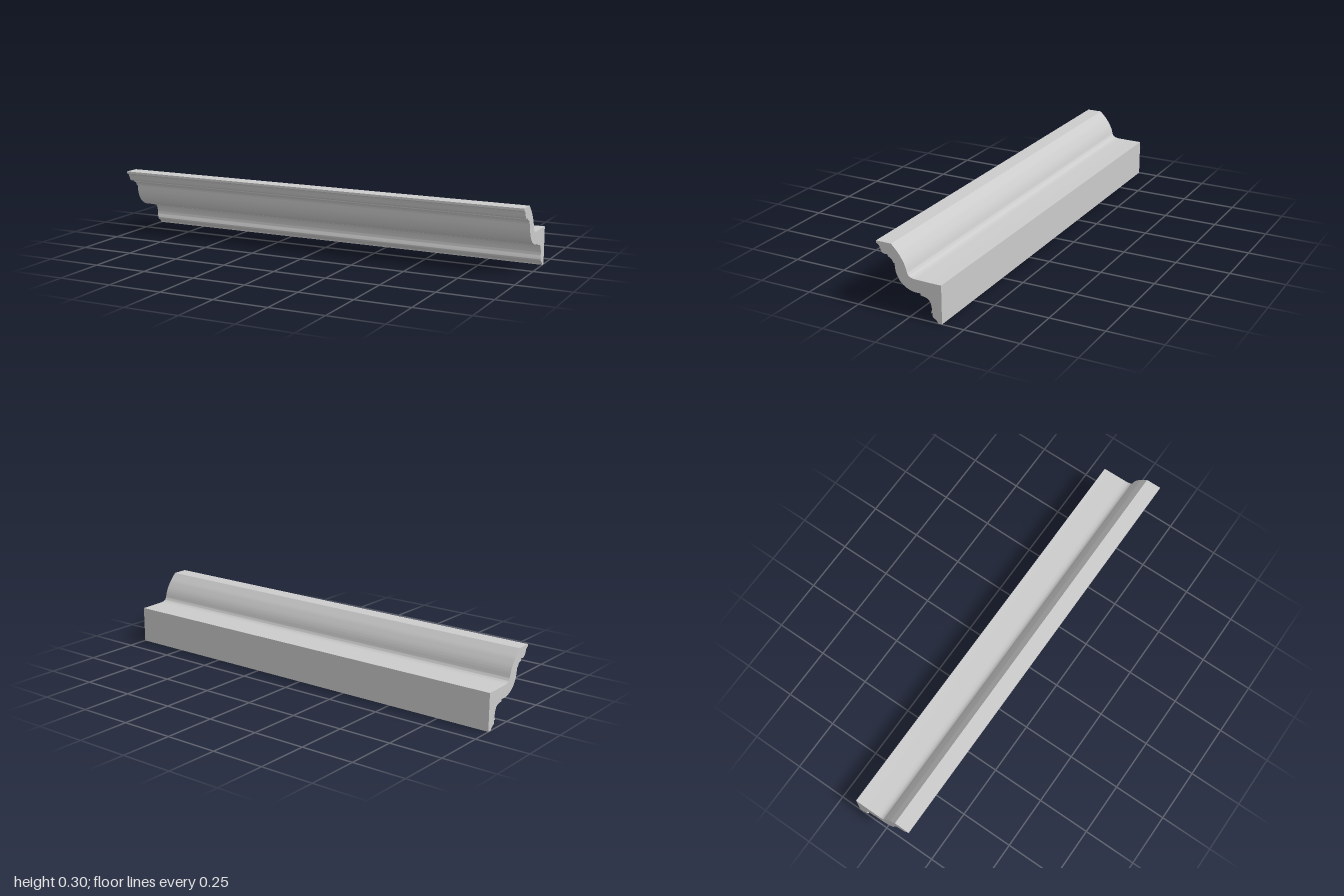
import * as THREE from 'three';
import { toCreasedNormals } from 'three/addons/utils/BufferGeometryUtils.js';

const LENGTH = 2;

// Cross-section as (z, y): each run is a smooth curve, runs meet at sharp corners.
const runs = [
  // foot bead
  [[-0.131, 0.002], [-0.123, 0.013], [-0.111, 0.02], [-0.106, 0.029], [-0.108, 0.038]],
  // lower cove
  [[-0.1, 0.039], [-0.103, 0.048], [-0.104, 0.06], [-0.101, 0.077], [-0.094, 0.092], [-0.081, 0.101], [-0.054, 0.106]],
  // main belly
  [[-0.053, 0.115], [-0.022, 0.115], [0.006, 0.123], [0.034, 0.141], [0.053, 0.167], [0.062, 0.193], [0.065, 0.222]],
  // upper steps
  [[0.072, 0.223], [0.076, 0.234], [0.084, 0.241], [0.095, 0.245]],
  [[0.097, 0.254], [0.113, 0.254], [0.125, 0.26], [0.132, 0.275], [0.138, 0.288], [0.15, 0.294]],
  // top lip
  [[0.15, 0.304], [0.078, 0.304]],
  // back of the sweep, down to the shelf
  [[0.078, 0.304], [0.061, 0.286], [0.043, 0.266], [0.023, 0.235], [0.013, 0.212], [0.006, 0.188],
    [-0.004, 0.177], [-0.022, 0.172], [-0.05, 0.171], [-0.095, 0.17]],
  // shelf and flat wall face
  [[-0.15, 0.17], [-0.15, 0]],
];

function profile() {
  const points = [];
  for (const run of runs) {
    const pts = run.map(([z, y]) => new THREE.Vector2(z, y));
    const smooth = pts.length > 2 ? new THREE.SplineCurve(pts).getPoints((pts.length - 1) * 4) : pts;
    for (const p of smooth) {
      if (!points.length || points[points.length - 1].distanceTo(p) > 1e-5) points.push(p);
    }
  }
  points.push(new THREE.Vector2(-0.131, 0));
  return new THREE.Shape(points);
}

export function createModel() {
  const group = new THREE.Group();
  group.name = 'crownMoulding';

  // Sweep the section along x
  const geometry = new THREE.ExtrudeGeometry(profile(), { depth: LENGTH, bevelEnabled: false });
  geometry.rotateY(-Math.PI / 2);
  geometry.translate(LENGTH / 2, 0, 0);

  const moulding = new THREE.Mesh(
    toCreasedNormals(geometry, Math.PI / 6),
    new THREE.MeshStandardMaterial({ color: 0xcccccc })
  );
  moulding.name = 'mouldingStrip';
  group.add(moulding);
  return group;
}
